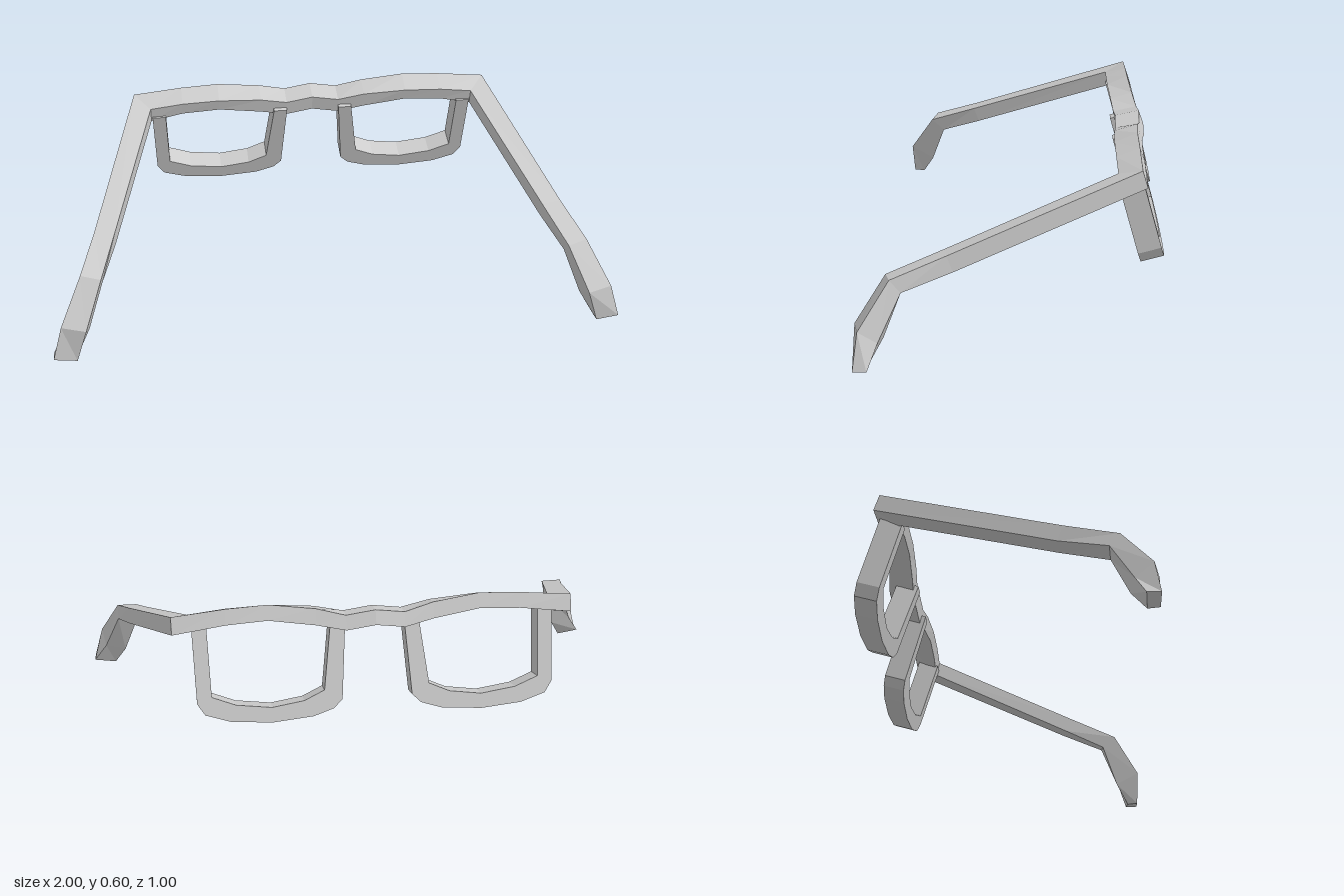
import * as THREE from 'three';

const frameGrey = new THREE.MeshStandardMaterial({ color: 0xcccccc });
frameGrey.name = 'frameGrey';

// Flat-faced solid through a row of four-cornered cross-sections
function loft(sections) {
  const pos = [];
  const tri = (...pts) => pts.forEach((p) => pos.push(...p));
  for (let s = 0; s < sections.length - 1; s++) {
    for (let i = 0; i < 4; i++) {
      const j = (i + 1) % 4;
      const a = sections[s][i], b = sections[s][j];
      const c = sections[s + 1][j], d = sections[s + 1][i];
      tri(a, d, c);
      tri(a, c, b);
    }
  }
  const first = sections[0], last = sections[sections.length - 1];
  tri(first[0], first[1], first[2]);
  tri(first[0], first[2], first[3]);
  tri(last[0], last[2], last[1]);
  tri(last[0], last[3], last[2]);
  const geometry = new THREE.BufferGeometry();
  geometry.setAttribute('position', new THREE.Float32BufferAttribute(pos, 3));
  geometry.computeVertexNormals();
  return geometry;
}

const mirrorPoint = ([x, y, z]) => [-x, y, z];

// Brow bar stations: front x, back x, front top y, front z, back top y, back z, front bottom y
const browStations = [
  [0, 0, 0.545, -0.345, 0.565, -0.43, 0.49],
  [0.1, 0.1, 0.53, -0.342, 0.55, -0.427, 0.475],
  [0.2, 0.2, 0.55, -0.335, 0.575, -0.415, 0.495],
  [0.36, 0.36, 0.56, -0.328, 0.595, -0.405, 0.518],
  [0.5, 0.5, 0.555, -0.328, 0.588, -0.405, 0.51],
  [0.62, 0.68, 0.54, -0.33, 0.57, -0.405, 0.485],
];

function browSections() {
  const half = browStations.map(([xf, xb, yf, zf, yb, zb, yl]) => [
    [xf, yf, zf],
    [xb, yb, zb],
    [xb, yl + 0.027, zb - 0.018],
    [xf, yl, zf - 0.012],
  ]);
  const other = half.slice(1).reverse().map((s) => s.map(mirrorPoint));
  return [...other, ...half];
}

// Temple corners: inner top, outer top, outer bottom, inner bottom
function templeSections(start) {
  return [
    start,
    [[0.77, 0.335, 0.22], [0.84, 0.34, 0.21], [0.84, 0.285, 0.19], [0.77, 0.28, 0.2]],
    [[0.82, 0.268, 0.405], [0.89, 0.278, 0.385], [0.89, 0.235, 0.35], [0.82, 0.223, 0.355]],
    [[0.88, 0.125, 0.5], [0.965, 0.135, 0.48], [0.95, 0.09, 0.42], [0.875, 0.075, 0.41]],
    [[0.92, 0.004, 0.495], [1, 0.015, 0.495], [1, 0.015, 0.45], [0.92, 0, 0.455]],
  ];
}

// U-shaped lens rim, tilted backwards towards its lower edge
function rimGeometry(side) {
  const outline = [
    // outer edge
    [0.615, 0.335], [0.61, 0.08], [0.585, 0.04], [0.5, 0.012], [0.36, 0],
    [0.22, 0.012], [0.15, 0.035], [0.12, 0.065], [0.1, 0.335],
    // opening
    [0.15, 0.335], [0.18, 0.1], [0.25, 0.068], [0.36, 0.052],
    [0.48, 0.068], [0.56, 0.1], [0.565, 0.335],
  ];
  const shape = new THREE.Shape(outline.map(([x, y]) => new THREE.Vector2(side * x, y)));
  const geometry = new THREE.ExtrudeGeometry(shape, { depth: 0.08, bevelEnabled: false });
  geometry.translate(0, 0, -0.08);
  geometry.rotateX(0.28);
  geometry.translate(0, 0.18, -0.424);
  return geometry;
}

export function createModel() {
  const group = new THREE.Group();
  group.name = 'eyeglassFrame';
  const add = (geometry, name) => {
    const mesh = new THREE.Mesh(geometry, frameGrey);
    mesh.name = name;
    group.add(mesh);
  };

  const brow = browSections();
  add(loft(brow), 'browBar');

  const leftTemple = templeSections(brow[brow.length - 1]);
  const rightTemple = leftTemple.map((s) => s.map(mirrorPoint).reverse());
  add(loft(leftTemple), 'leftTemple');
  add(loft(rightTemple), 'rightTemple');

  add(rimGeometry(1), 'leftRim');
  add(rimGeometry(-1), 'rightRim');
  return group;
}
